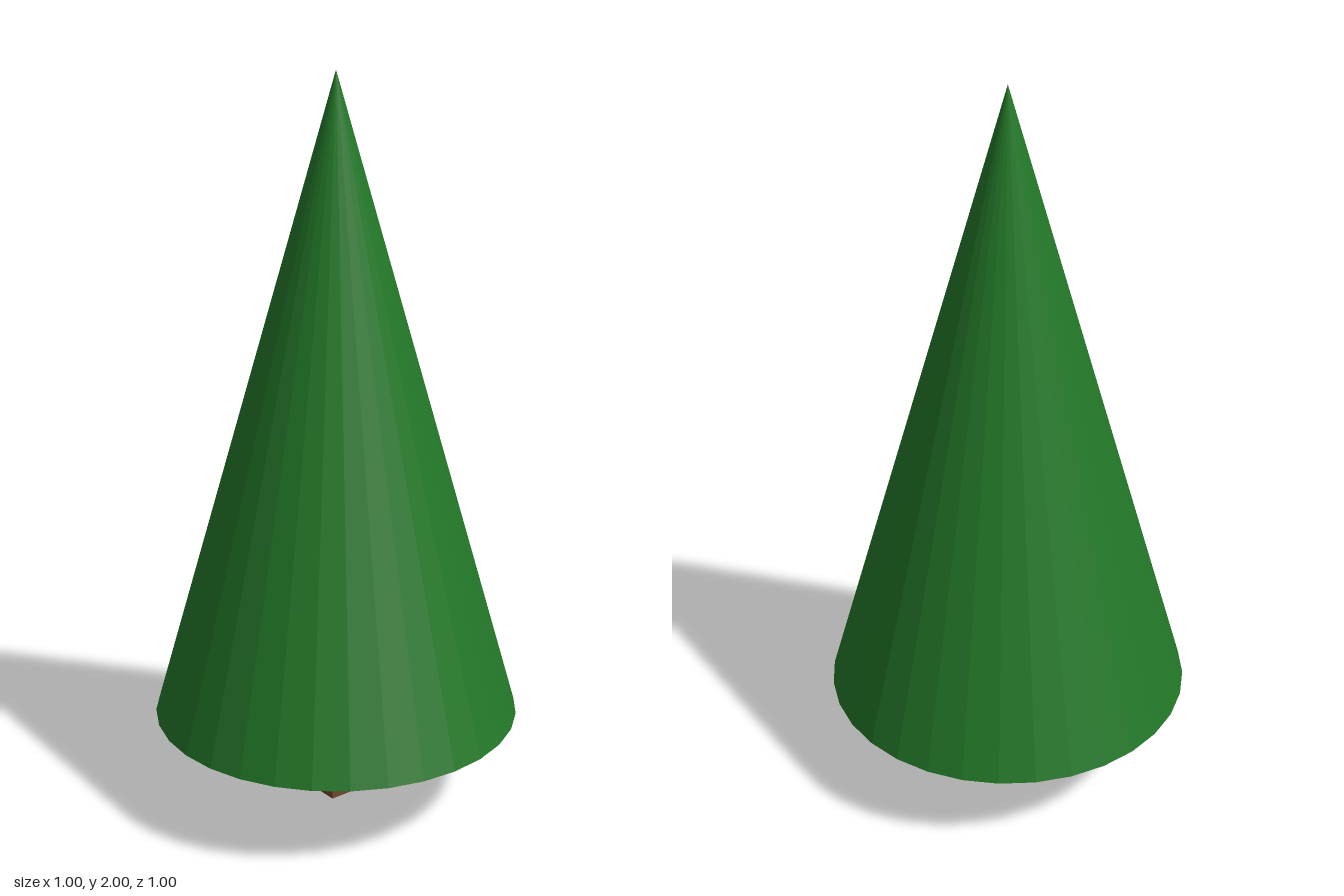
import * as THREE from 'three';

export function createModel() {
  const tree = new THREE.Group();
  tree.name = 'tree';
  const skirtY = 0.255; // height of the foliage base

  const add = (name, geometry, color, y) => {
    const material = new THREE.MeshStandardMaterial({ color, flatShading: true });
    const mesh = new THREE.Mesh(geometry, material);
    mesh.name = name;
    mesh.position.y = y;
    tree.add(mesh);
  };

  // Square trunk, meeting the underside of the foliage
  add('trunk', new THREE.BoxGeometry(0.114, skirtY, 0.114), 0x74452a, skirtY / 2);

  // Faceted foliage cone with a closed base
  const height = 2 - skirtY;
  add('foliage', new THREE.ConeGeometry(0.5, height, 32), 0x237828, skirtY + height / 2);

  return tree;
}
